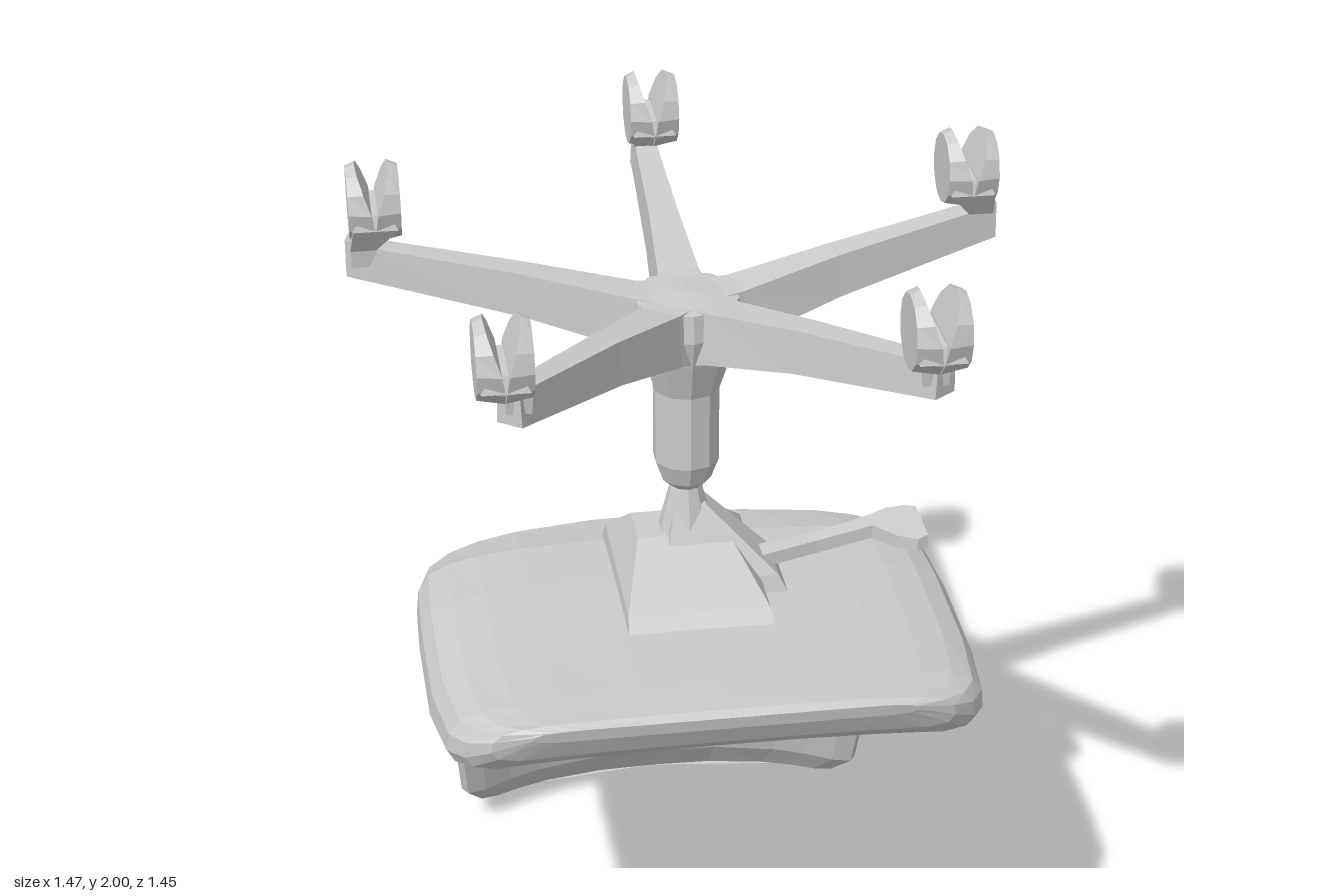
import * as THREE from 'three';

const material = new THREE.MeshStandardMaterial({ color: 0xcccccc, flatShading: true, side: THREE.DoubleSide });

// Skin a list of equal-length rings of [x, y, z] points and cap both ends.
function loft(rings) {
  const n = rings[0].length, pos = [], idx = [];
  rings.forEach(r => r.forEach(p => pos.push(...p)));
  for (let i = 0; i < rings.length - 1; i++) {
    for (let j = 0; j < n; j++) {
      const a = i * n + j, b = i * n + (j + 1) % n;
      idx.push(a, b, a + n, b, b + n, a + n);
    }
  }
  [0, rings.length - 1].forEach((k, end) => {
    const c = pos.length / 3;
    for (let d = 0; d < 3; d++) pos.push(rings[k].reduce((s, p) => s + p[d], 0) / n);
    for (let j = 0; j < n; j++) {
      const a = k * n + j, b = k * n + (j + 1) % n;
      idx.push(...(end ? [c, a, b] : [c, b, a]));
    }
  });
  // Turn the skin outward if the enclosed volume is negative
  let volume = 0;
  const pt = i => new THREE.Vector3().fromArray(pos, i * 3);
  for (let i = 0; i < idx.length; i += 3) volume += pt(idx[i]).dot(pt(idx[i + 1]).cross(pt(idx[i + 2])));
  if (volume < 0) idx.reverse();
  const g = new THREE.BufferGeometry();
  g.setAttribute('position', new THREE.Float32BufferAttribute(pos, 3));
  g.setIndex(idx);
  return facet(g);
}

function facet(geometry) {
  const flat = geometry.toNonIndexed();
  flat.computeVertexNormals();
  return flat;
}

function add(parent, name, geometry) {
  const mesh = new THREE.Mesh(geometry, material);
  mesh.name = name;
  parent.add(mesh);
  return mesh;
}

// Horizontal rectangle ring, by limits or by centre and half sizes
const rect = (y, x0, x1, z0, z1) => [[x0, y, z0], [x1, y, z0], [x1, y, z1], [x0, y, z1]];
const block = (y, x, z, hx, hz) => rect(y, x - hx, x + hx, z - hz, z + hz);

// Seat and backrest: one padded shell swept from the seat's front edge to the end of the back.
// Each station: outer z, y, inner z, y, half width, forward bow of the sides
function shellGeometry() {
  const stations = [
    [0.62, 1.01, 0.615, 0.98, 0.42, 0],
    [0.6, 1.02, 0.59, 0.93, 0.51, 0.01],
    [0.56, 1.02, 0.545, 0.89, 0.565, 0.02],
    [0.5, 1.02, 0.48, 0.865, 0.6, 0.025],
    [0.3, 1.015, 0.29, 0.835, 0.625, 0.035],
    [0, 1.01, 0, 0.83, 0.63, 0.035],
    [-0.2, 1.0, -0.17, 0.83, 0.625, 0.04],
    [-0.36, 0.965, -0.265, 0.8, 0.615, 0.07],
    [-0.46, 0.9, -0.33, 0.76, 0.605, 0.085],
    [-0.53, 0.78, -0.38, 0.7, 0.59, 0.1],
    [-0.585, 0.6, -0.44, 0.56, 0.565, 0.125],
    [-0.64, 0.35, -0.5, 0.32, 0.54, 0.135],
    [-0.685, 0.15, -0.55, 0.13, 0.525, 0.13],
    [-0.705, 0.06, -0.6, 0.05, 0.485, 0.1],
    [-0.72, 0.01, -0.67, 0.006, 0.41, 0.06],
  ];
  // Half section as [across, depth]; mirrored to close the loop
  const half = [[0, 0], [0.3, 0], [0.6, 0], [0.75, 0.01], [0.87, 0.05], [0.95, 0.15], [0.99, 0.35],
    [1, 0.65], [0.97, 0.88], [0.88, 1], [0.75, 1], [0.6, 1], [0.3, 1], [0, 1]];
  const section = [...half, ...half.slice(1, -1).reverse().map(([u, v]) => [-u, v])];
  return loft(stations.map(([zo, yo, zi, yi, w, bow]) => {
    const len = Math.hypot(zi - zo, yi - yo);
    return section.map(([u, v]) => {
      const k = v + bow * Math.abs(u) ** 2.6 / len;
      return [u * w, yo + (yi - yo) * k, zo + (zi - zo) * k];
    });
  }));
}

// Star leg reaching from the hub to (x, z)
function legGeometry(x, z) {
  const reach = Math.hypot(x, z), dx = x / reach, dz = z / reach;
  const stations = [[0.02, 1.58, 1.725, 0.07], [0.12, 1.61, 1.73, 0.055],
    [0.36, 1.67, 1.77, 0.04], [reach - 0.05, 1.735, 1.815, 0.03], [reach, 1.745, 1.83, 0.03]];
  return loft(stations.map(([r, y0, y1, w]) =>
    [[-w, y0], [w, y0], [w * 0.85, y1], [-w * 0.85, y1]].map(([s, y]) => [dx * r - dz * s, y, dz * r + dx * s])));
}

// Half of a twin wheel: upright outer face, inner face sloping away to leave a V notch on top
function wheelGeometry(side) {
  const g = new THREE.CylinderGeometry(0.08, 0.09, 0.056, 12);
  g.rotateZ(-side * Math.PI / 2);
  const p = g.attributes.position;
  for (let i = 0; i < p.count; i++) {
    if (p.getX(i) * side < 0) p.setX(i, p.getX(i) + side * Math.max(0, p.getY(i) + 0.02) * 0.33);
  }
  return facet(g);
}

// Twin-wheel caster with its stem at (sx, sz) and wheel centre at (x, z)
function makeCaster(sx, sz, x, z) {
  const caster = new THREE.Group();
  caster.name = 'caster';
  add(caster, 'casterHood', loft([
    block(1.77, sx, sz, 0.026, 0.032), block(1.81, sx, sz, 0.028, 0.035),
    block(1.87, x, z, 0.05, 0.08), block(1.905, x, z, 0.03, 0.07),
  ]));
  for (const side of [-1, 1]) {
    add(caster, 'casterWheel', wheelGeometry(side)).position.set(x + side * 0.029, 1.91, z);
  }
  return caster;
}

export function createModel() {
  const model = new THREE.Group();
  model.name = 'upturnedSwivelChair';

  add(model, 'seatAndBack', shellGeometry());

  // Mechanism under the seat
  add(model, 'mountPlate', loft([
    rect(0.99, -0.17, 0.17, -0.23, 0.29), rect(1.04, -0.165, 0.16, -0.2, 0.23),
    rect(1.14, -0.12, 0.09, -0.07, 0.05),
  ]));
  add(model, 'tiltHousing', loft([
    rect(1.01, -0.08, 0.22, -0.04, 0.12), rect(1.05, -0.07, 0.2, -0.04, 0.11),
    rect(1.21, -0.03, 0.04, -0.035, 0.035),
  ]));

  // Gas column and hub, turned in one profile
  const profile = [[0, 1.1], [0.07, 1.12], [0.037, 1.25], [0.058, 1.27], [0.076, 1.32], [0.076, 1.5],
    [0.105, 1.59], [0.125, 1.66], [0.12, 1.725], [0, 1.735]].map(p => new THREE.Vector2(...p));
  add(model, 'columnAndHub', facet(new THREE.LatheGeometry(profile, 10)));

  // Height lever: stations x, y, z range
  add(model, 'heightLever', loft([[0.1, 1.06, 0.02, 0.08], [0.3, 1.085, 0.01, 0.05], [0.43, 1.115, 0, 0.05],
    [0.47, 1.13, 0, 0.13], [0.51, 1.14, 0.01, 0.17], [0.535, 1.147, 0.03, 0.165]].map(([x, y, z0, z1]) =>
    [[x, y - 0.02, z0], [x, y - 0.02, z1], [x, y + 0.013, z1], [x, y + 0.013, z0]])));

  // Star base: leg tip x, z, then wheel centre x, z
  const feet = [[0, -0.72, 0.01, -0.64]];
  for (const s of [-1, 1]) {
    feet.push([s * 0.73, -0.185, s * 0.668, -0.185], [s * 0.445, 0.6, s * 0.435 - 0.022, 0.63]);
  }
  for (const [lx, lz, cx, cz] of feet) {
    add(model, 'starLeg', legGeometry(lx, lz));
    model.add(makeCaster(lx * 0.955, lz * 0.955, cx, cz));
  }
  return model;
}
